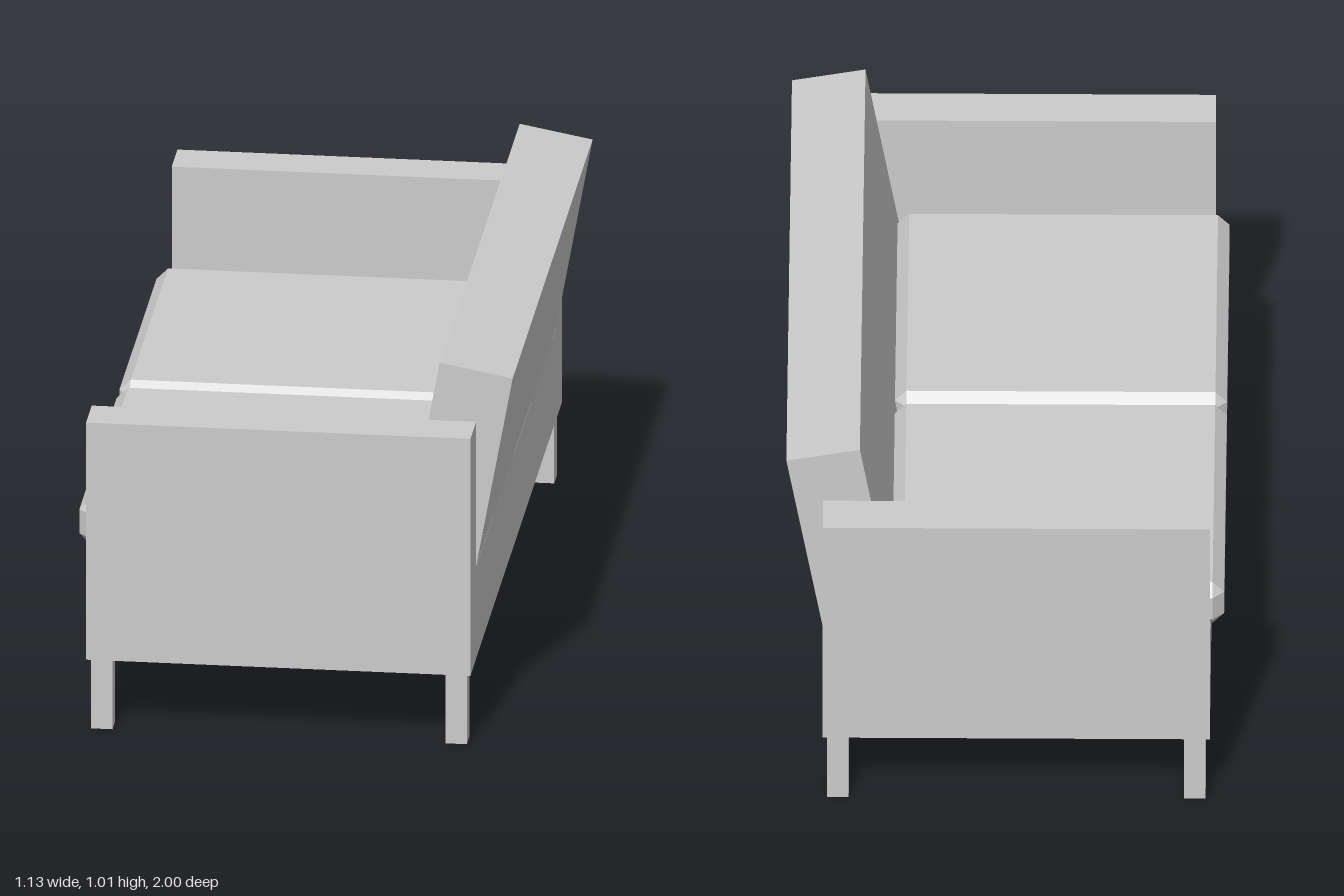
import * as THREE from 'three';
import { ConvexGeometry } from 'three/addons/geometries/ConvexGeometry.js';

const material = new THREE.MeshStandardMaterial({ color: 0xcccccc, flatShading: true });

function add(group, name, geometry) {
  const mesh = new THREE.Mesh(geometry, material);
  mesh.name = name;
  group.add(mesh);
  return mesh;
}

// Box given by its limits on each axis
function box(group, name, [x0, x1], [y0, y1], [z0, z1]) {
  const mesh = add(group, name, new THREE.BoxGeometry(x1 - x0, y1 - y0, z1 - z0));
  mesh.position.set((x0 + x1) / 2, (y0 + y1) / 2, (z0 + z1) / 2);
  return mesh;
}

// Box with every edge and corner cut flat
function chamferedBox(w, h, d, c) {
  const points = [];
  for (const sx of [-1, 1]) for (const sy of [-1, 1]) for (const sz of [-1, 1]) {
    const x = w / 2, y = h / 2, z = d / 2;
    points.push(
      new THREE.Vector3(sx * x, sy * (y - c), sz * (z - c)),
      new THREE.Vector3(sx * (x - c), sy * y, sz * (z - c)),
      new THREE.Vector3(sx * (x - c), sy * (y - c), sz * z)
    );
  }
  return new ConvexGeometry(points);
}

export function createModel() {
  const sofa = new THREE.Group();
  sofa.name = 'sofa';

  // Seat base between the arms; the seat opens towards -x
  box(sofa, 'base', [-0.53, 0.47], [0.197, 0.45], [-0.876, 0.876]);

  // Leaning backrest, extruded along z from its side profile
  const profile = new THREE.Shape([
    new THREE.Vector2(0.272, 0.44),
    new THREE.Vector2(0.468, 0.44),
    new THREE.Vector2(0.565, 0.974),
    new THREE.Vector2(0.375, 1.009)
  ]);
  const back = new THREE.ExtrudeGeometry(profile, { depth: 1.75, bevelEnabled: false });
  add(sofa, 'backrest', back).position.z = -0.875;

  for (const side of [-1, 1]) {
    const label = side > 0 ? 'left' : 'right';
    const span = (a, b) => (side > 0 ? [a, b] : [-b, -a]);

    box(sofa, label + 'Arm', [-0.53, 0.47], [0.195, 0.85], span(0.875, 1));

    // Seat cushion
    const cushion = add(sofa, label + 'Cushion', chamferedBox(0.858, 0.126, 0.874, 0.03));
    cushion.position.set(-0.137, 0.517, side * 0.437);

    // Legs under the arm
    for (const x of [-0.519, 0.403]) {
      box(sofa, label + 'Leg', [x, x + 0.056], [0, 0.2], span(0.925, 0.985));
    }
  }
  return sofa;
}
